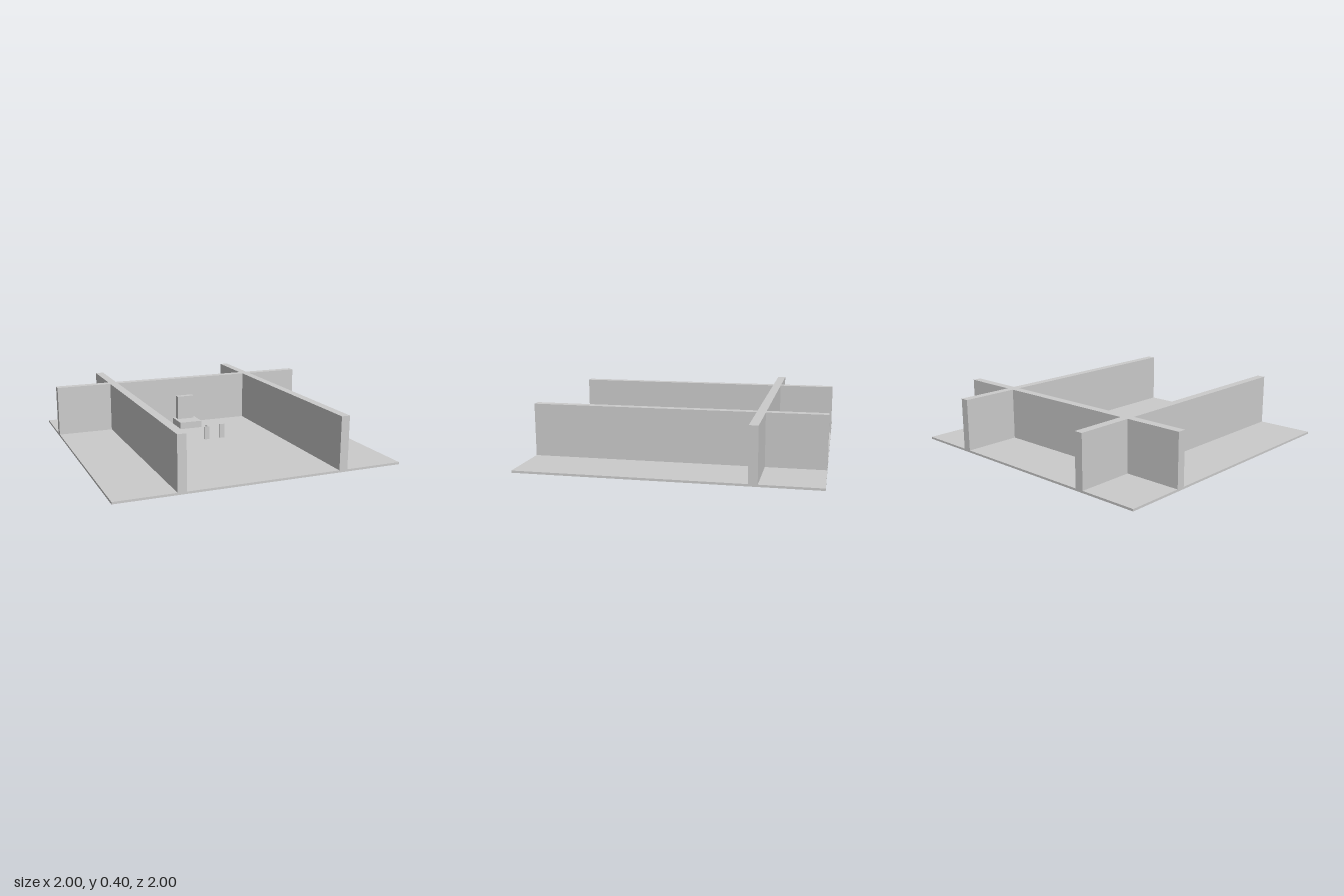
import * as THREE from 'three';

export function createModel() {
  const model = new THREE.Group();
  const material = new THREE.MeshStandardMaterial({ color: 0xcccccc, flatShading: true });

  // Adds a box given its extents along each axis
  function block(name, [x0, x1], [y0, y1], [z0, z1]) {
    const mesh = new THREE.Mesh(new THREE.BoxGeometry(x1 - x0, y1 - y0, z1 - z0), material);
    mesh.position.set((x0 + x1) / 2, (y0 + y1) / 2, (z0 + z1) / 2);
    mesh.name = name;
    model.add(mesh);
  }

  const floorTop = 0.035;
  const wallY = [floorTop, 0.4];
  const inner = 0.532, outer = 0.592;

  block('floor', [-1, 1], [0.02, floorTop], [-1, 1]);

  // Two long walls crossed by the back wall, whose pieces meet them flush
  block('leftWall', [inner, outer], wallY, [-1, 1]);
  block('rightWall', [-outer, -inner], wallY, [-1, 1]);
  const backZ = [-0.595, -0.535];
  block('backWall', [-inner, inner], wallY, backZ);
  block('backWallLeftEnd', [outer, 1], wallY, backZ);
  block('backWallRightEnd', [-1, -outer], wallY, backZ);

  // Seat sunk through the floor, with an upright backrest
  block('seat', [-0.09, 0.086], [0, 0.087], [-0.51, -0.336]);
  block('backrest', [-0.068, 0.065], [0.087, 0.27], [-0.495, -0.452]);

  // Two small standing posts, the first with a narrow tip
  const postZ = [-0.013, 0.003];
  block('post', [-0.02, 0.017], [floorTop, 0.132], postZ);
  block('postTip', [-0.005, 0.005], [0.132, 0.143], postZ);
  block('sidePost', [0.102, 0.14], [floorTop, 0.142], postZ);

  return model;
}
